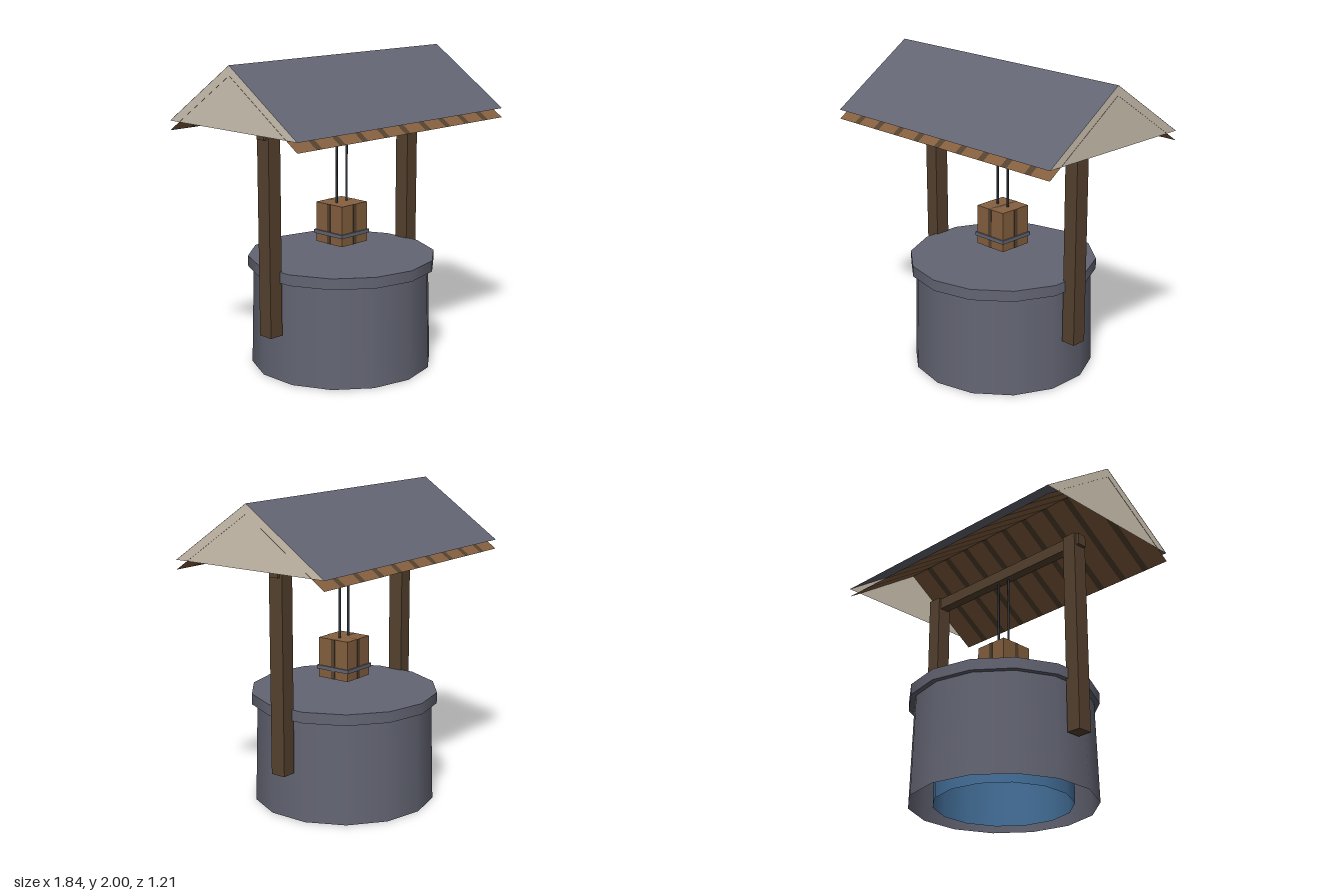
import * as THREE from 'three';

const mat = (name, color, side = THREE.FrontSide) => {
  const m = new THREE.MeshStandardMaterial({ color, side });
  m.name = name;
  return m;
};

export function createModel() {
  const slate = mat('slate', 0x636573, THREE.DoubleSide);
  const cream = mat('cream plaster', 0xd0c6b5, THREE.DoubleSide);
  const wood = mat('wood', 0x85603f, THREE.DoubleSide);
  const darkWood = mat('dark wood', 0x56422f);
  const stripeWood = mat('plank gap', 0x56432f, THREE.DoubleSide);
  const water = mat('water blue', 0x44709a, THREE.DoubleSide);
  const rope = mat('rope', 0x30333b);

  const model = new THREE.Group();
  model.name = 'well';
  const add = (name, geometry, material, x = 0, y = 0, z = 0, parent = model) => {
    const m = new THREE.Mesh(geometry, material);
    m.name = name;
    m.position.set(x, y, z);
    parent.add(m);
    return m;
  };
  const box = (name, material, w, h, d, x, y, z) =>
    add(name, new THREE.BoxGeometry(w, h, d), material, x, y, z);

  // Hollow wall, closed rim slab and the blue inner shaft, open at the bottom
  const SIDES = 14;
  add('wellWall', new THREE.CylinderGeometry(0.57, 0.588, 0.645, SIDES, 1, true), slate, 0, 0.3225);
  add('wellRim', new THREE.CylinderGeometry(0.605, 0.605, 0.07, SIDES), slate, 0, 0.68);
  add('innerShaft', new THREE.CylinderGeometry(0.435, 0.435, 0.39, SIDES, 1, true), water, 0, 0.195);
  const ceiling = new THREE.CircleGeometry(0.435, SIDES, Math.PI / 2).rotateX(Math.PI / 2);
  add('shaftCeiling', ceiling, water, 0, 0.39);

  // Posts and cross beam
  for (const s of [-1, 1]) box('post', darkWood, 0.095, 1.315, 0.1, s * 0.6225, 0.9625, 0);
  box('crossBeam', darkWood, 1.38, 0.075, 0.065, 0, 1.5775, 0);

  // Roof: each side has a slate sheet above a striped plank lining
  const HALF = 0.92, DEPTH = 0.563, RISE = 0.38;
  const length = Math.hypot(DEPTH, RISE), tilt = Math.atan2(DEPTH, RISE);
  const STRIPE = 0.047, STEP = 0.187;
  for (const turn of [0, Math.PI]) {
    const side = new THREE.Group();
    side.name = 'roofSide';
    side.rotation.y = turn;
    model.add(side);
    const sheet = (name, material, x0, x1, eave) => add(
      name, new THREE.PlaneGeometry(x1 - x0, length).rotateX(-tilt), material,
      (x0 + x1) / 2, eave + RISE / 2, DEPTH / 2, side);
    sheet('roofSlate', slate, -HALF, HALF, 1.62);
    let edge = -HALF;
    for (let i = -4; i <= 4; i++) {
      const x = i * STEP;
      sheet('liningPlank', wood, edge, x - STRIPE / 2, 1.56);
      edge = x + STRIPE / 2;
      sheet('liningStripe', stripeWood, x - STRIPE / 2, edge, 1.56);
    }
    sheet('liningPlank', wood, edge, HALF, 1.56);
  }

  // Gable ends
  const triangle = new THREE.Shape([
    new THREE.Vector2(-DEPTH, 1.62), new THREE.Vector2(DEPTH, 1.62), new THREE.Vector2(0, 2)]);
  for (const s of [-1, 1]) {
    add('gable', new THREE.ShapeGeometry(triangle).rotateY(s * Math.PI / 2), cream, s * (HALF - 0.002));
  }

  // Square bucket with a dark strip on each face, a metal band and two ropes
  box('bucket', wood, 0.23, 0.26, 0.23, 0, 0.925, 0);
  box('bucketStripAcross', darkWood, 0.236, 0.26, 0.028, 0, 0.925, 0);
  box('bucketStripDeep', darkWood, 0.028, 0.26, 0.236, 0, 0.925, 0);
  box('bucketBand', slate, 0.25, 0.024, 0.25, 0, 0.862, 0);
  for (const s of [-1, 1]) {
    add('rope', new THREE.CylinderGeometry(0.008, 0.008, 0.49, 6), rope, s * 0.045, 1.298, 0);
  }

  return model;
}
